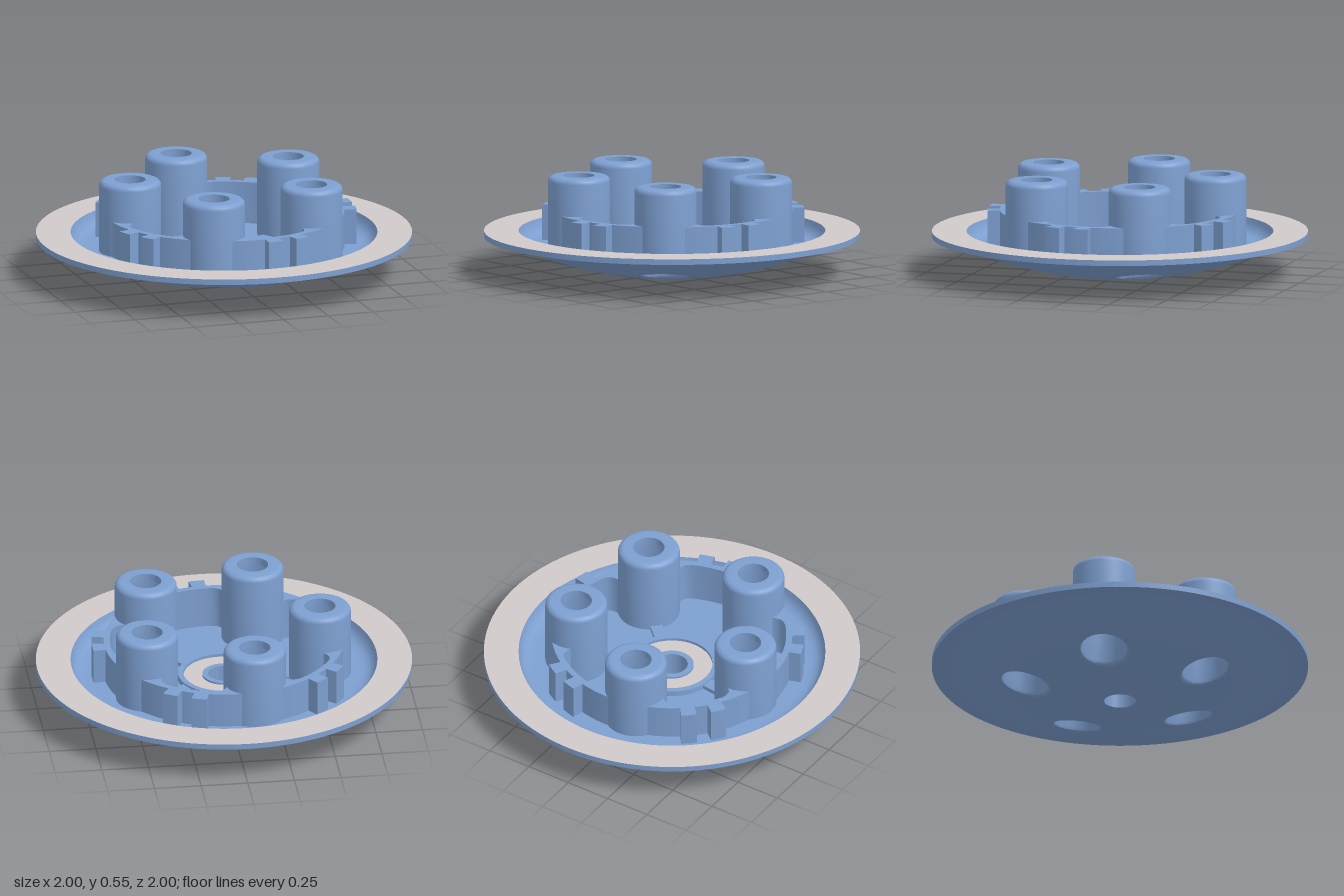
import * as THREE from 'three';
import { toCreasedNormals } from 'three/addons/utils/BufferGeometryUtils.js';

const RAD = Math.PI / 180;
const COUNT = 5, STEP = 72 * RAD, START = -101.4 * RAD; // post layout
const POST_R = 0.51, BORE = 0.12, MOUTH = 0.135;        // post circle, bore, bore mouth
const HOLE = 0.084, FLOOR = 0.125;
const blue = new THREE.MeshStandardMaterial({ color: 0x7d9fd0 });
const grey = new THREE.MeshStandardMaterial({ color: 0xcfc9c9 });

// height of the domed underside at a given radius
const dome = r => 0.2 * Math.pow(r / 0.9, 2.1);
const polar = (r, a) => new THREE.Vector2(r * Math.cos(a), r * Math.sin(a));

function add(parent, name, geometry, material = blue) {
  const mesh = new THREE.Mesh(geometry, material);
  mesh.name = name;
  parent.add(mesh);
  return mesh;
}

function lathe(points, segments = 96) {
  const g = new THREE.LatheGeometry(points.map(p => new THREE.Vector2(...p)), segments);
  return toCreasedNormals(g, 0.5);
}

// extrude a plan outline downward from the given top height
function slab(shape, top, depth) {
  const g = new THREE.ExtrudeGeometry(shape, { depth, bevelEnabled: false, curveSegments: 48 });
  g.rotateX(Math.PI / 2).translate(0, top, 0);
  return toCreasedNormals(g, 0.5);
}

// one 72 degree sector of the dome, blended from the bore mouth out to the sector edge
function domeSector(centre) {
  const N = 96, M = 16, r0 = HOLE, r1 = 0.9;
  const pos = [], nor = [], idx = [];
  for (let j = 0; j <= M; j++) {
    for (let i = 0; i <= N; i++) {
      const u = i / N * Math.PI * 2, c = Math.cos(u), s = Math.sin(u);
      const k = 1 / Math.max(Math.abs(c), Math.abs(s));
      const hx = POST_R + MOUTH * c, hz = MOUTH * s;
      const edgeR = POST_R + c * k * (c > 0 ? r1 - POST_R : POST_R - r0);
      const r = THREE.MathUtils.lerp(Math.hypot(hx, hz), edgeR, j / M);
      const a = centre + THREE.MathUtils.lerp(Math.atan2(hz, hx), s * k * STEP / 2, j / M);
      const slope = (dome(r + 0.001) - dome(r - 0.001)) / 0.002, len = Math.hypot(1, slope);
      pos.push(r * Math.cos(a), dome(r), r * Math.sin(a));
      nor.push(slope * Math.cos(a) / len, -1 / len, slope * Math.sin(a) / len);
      if (i < N && j < M) {
        const p = j * (N + 1) + i, q = p + N + 1;
        idx.push(p, q, p + 1, p + 1, q, q + 1);
      }
    }
  }
  const g = new THREE.BufferGeometry();
  g.setAttribute('position', new THREE.Float32BufferAttribute(pos, 3));
  g.setAttribute('normal', new THREE.Float32BufferAttribute(nor, 3));
  g.setIndex(idx);
  return g;
}

// hollow post: bore from below, capped by a smaller hole, rounded top edge
function postGeometry(centre) {
  const pts = [[0.165, 0.12], [0.165, 0.52]];
  for (let i = 1; i <= 6; i++) {
    const t = i / 6 * Math.PI / 2;
    pts.push([0.135 + 0.03 * Math.cos(t), 0.52 + 0.03 * Math.sin(t)]);
  }
  pts.push([0.083, 0.55], [0.083, 0.51], [BORE, 0.51], [BORE, 0.02], [0.125, 0.006], [MOUTH, 0]);
  const g = new THREE.LatheGeometry(pts.map(p => new THREE.Vector2(...p)), 64);
  const c = polar(POST_R, centre), p = g.attributes.position;
  g.translate(c.x, 0, c.y);
  // fit the mouth of the bore to the dome
  for (let i = 0; i < p.count; i++) {
    if (p.getY(i) < 0.05) p.setY(i, p.getY(i) + dome(Math.hypot(p.getX(i), p.getZ(i))));
  }
  return toCreasedNormals(g, 0.6);
}

// wall between two posts, with a pair of teeth outside and filleted pocket corners inside
function wallShape(a0) {
  const pts = [];
  const arc = (r, from, to, n) => {
    for (let i = 0; i <= n; i++) pts.push(polar(r, a0 + (from + (to - from) * i / n) * RAD));
  };
  const inner = [[0.607, 24], [0.602, 21.5], [0.59, 19.5], [0.57, 18], [0.545, 17], [0.5, 16.4]];
  const postSide = [[0.5, 16.4], [0.54, 15.6], [0.58, 13.8], [0.615, 10.5], [0.64, 6.4]];
  arc(0.64, 6.4, 26, 10);
  arc(0.705, 26, 32.8, 4);
  arc(0.64, 32.8, 39.2, 4);
  arc(0.705, 39.2, 46, 4);
  arc(0.64, 46, 65.6, 10);
  for (const [r, a] of [...postSide].reverse().slice(1)) pts.push(polar(r, a0 + (72 - a) * RAD));
  for (const [r, a] of [...inner].reverse().slice(1)) pts.push(polar(r, a0 + (72 - a) * RAD));
  arc(0.607, 46, 26, 12);
  for (const [r, a] of inner) pts.push(polar(r, a0 + a * RAD));
  for (const [r, a] of postSide.slice(1, -1)) pts.push(polar(r, a0 + a * RAD));
  return new THREE.Shape(pts);
}

export function createModel() {
  const model = new THREE.Group();
  model.name = 'pressurePlate';

  // outer flange
  add(model, 'flangeRim', lathe([[0.87, dome(0.87)], [0.9, 0.205], [1, 0.205], [1, 0.235]], 128));
  add(model, 'flangeFace', lathe([[1, 0.235], [0.815, 0.235]], 128), grey);

  // dished gutter inside the flange
  add(model, 'gutter', lathe([[0.815, 0.235], [0.808, 0.21], [0.795, 0.187], [0.775, 0.17],
    [0.75, 0.162], [0.72, 0.16], [0.636, 0.16]], 128));

  // pocket floor
  const floor = new THREE.Shape().absarc(0, 0, 0.638, 0, Math.PI * 2);
  const cut = (x, y, r) => floor.holes.push(new THREE.Path().absarc(x, y, r, 0, Math.PI * 2, true));
  cut(0, 0, 0.23);
  for (let i = 0; i < COUNT; i++) {
    const c = polar(POST_R, START + i * STEP);
    cut(c.x, c.y, BORE + 0.003);
  }
  add(model, 'pocketFloor', slab(floor, FLOOR, 0.004));

  // central hub with its bearing seat and through hole
  add(model, 'hubRim', lathe([[0.247, 0.12], [0.245, 0.155], [0.215, 0.155], [0.215, 0.14]]));
  add(model, 'bearingSeat', lathe([[0.215, 0.14], [0.115, 0.14]]), grey);
  add(model, 'hubCollar', lathe([[0.115, 0.14], [0.115, 0.15], [HOLE, 0.15], [HOLE, dome(HOLE)]]));

  // repeated sectors: dome, post, wall and rib
  for (let i = 0; i < COUNT; i++) {
    const a = START + i * STEP;
    add(model, 'domedUnderside', domeSector(a));
    add(model, 'springPost', postGeometry(a));
    add(model, 'toothedWall', slab(wallShape(a), 0.35, 0.228));
    const rib = new THREE.BoxGeometry(0.13, 0.025, 0.065);
    rib.translate(0.3, 0.1335, 0).rotateY(-a);
    add(model, 'rib', rib);
  }
  return model;
}
